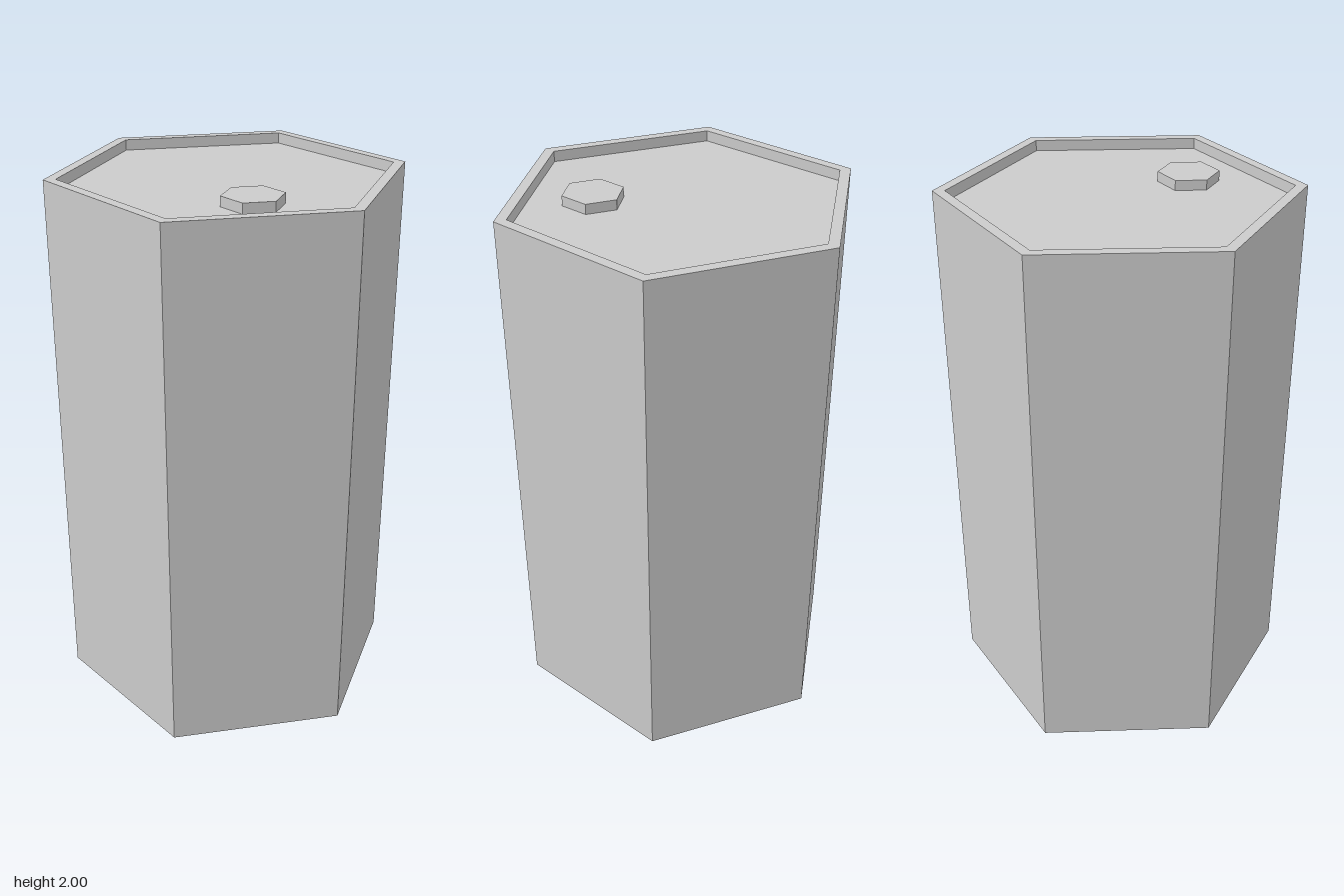
import * as THREE from 'three';

const SIDES = 6;
const HEIGHT = 2;
const OUTER = 0.637; // corner radius of the drum
const INNER = 0.594; // corner radius of the recess
const FLOOR = HEIGHT - 0.039; // level of the recessed lid

export function createModel() {
  const group = new THREE.Group();
  const material = new THREE.MeshStandardMaterial({ color: 0xcccccc, flatShading: true });

  const add = (name, geometry, x = 0, y = 0, z = 0) => {
    const mesh = new THREE.Mesh(geometry, material);
    mesh.name = name;
    mesh.position.set(x, y, z);
    group.add(mesh);
  };

  // Outer wall, flat rim and inner lip in one hexagonal sweep, corners on the x axis
  const profile = [[OUTER, 0], [OUTER, HEIGHT], [INNER, HEIGHT], [INNER, FLOOR]]
    .map(([r, y]) => new THREE.Vector2(r, y));
  add('drumWall', new THREE.LatheGeometry(profile, SIDES, Math.PI / 2));

  // Closed bottom and recessed lid
  add('drumBase', new THREE.CircleGeometry(OUTER, SIDES).rotateX(Math.PI / 2));
  add('recessedLid', new THREE.CircleGeometry(INNER, SIDES).rotateX(-Math.PI / 2), 0, FLOOR);

  // Small hexagonal cap near the front edge of the lid
  const capHeight = 0.036;
  const cap = new THREE.CylinderGeometry(0.109, 0.109, capHeight, SIDES, 1, false, Math.PI / 2);
  add('fillerCap', cap, 0.022, FLOOR + capHeight / 2, 0.295);

  return group;
}
